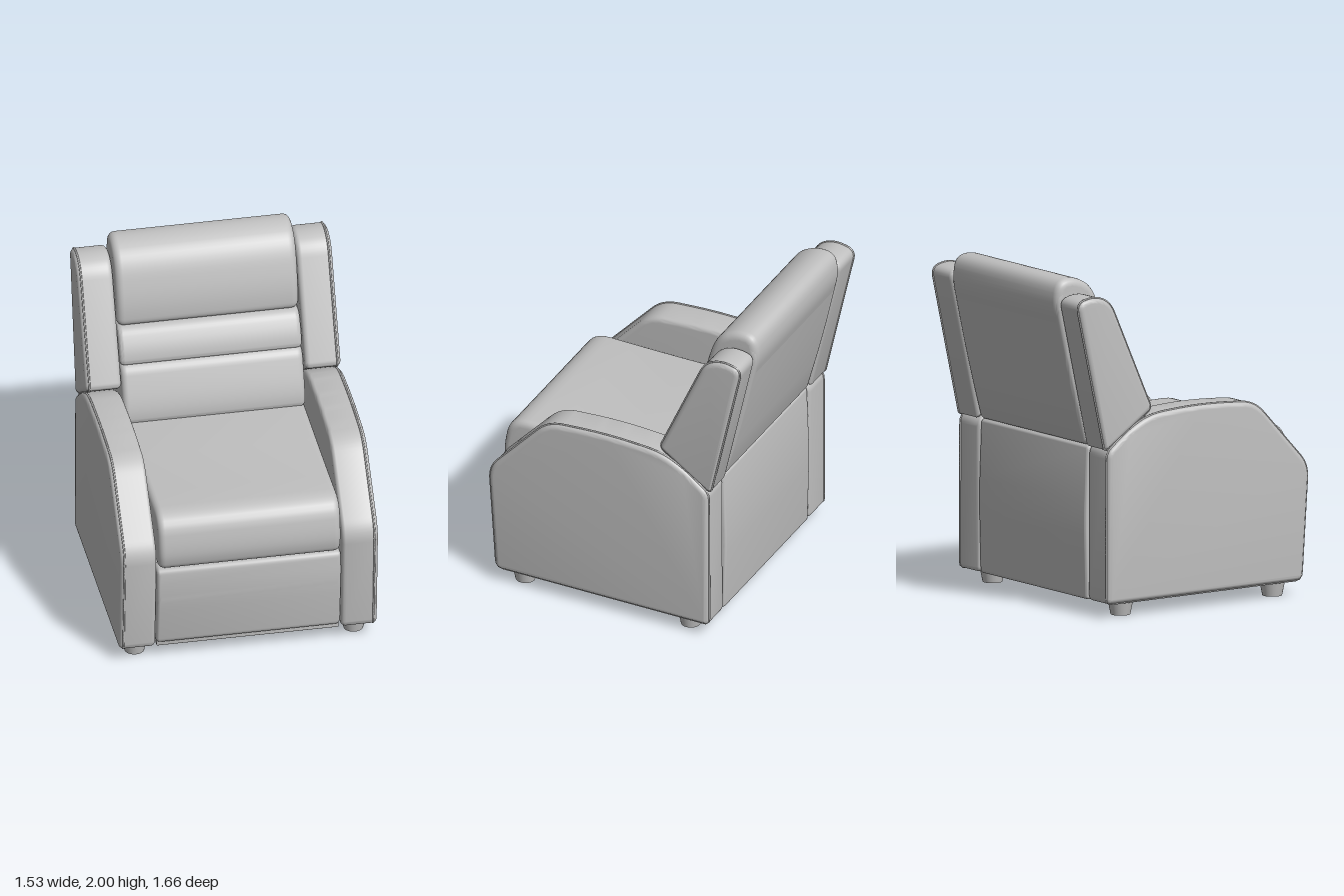
import * as THREE from 'three';
import { toCreasedNormals } from 'three/addons/utils/BufferGeometryUtils.js';

// Closed side outline from [z, y, cornerRadius] points
function outline(points) {
  const shape = new THREE.Shape();
  const n = points.length;
  points.forEach(([z, y, r], i) => {
    const p = new THREE.Vector2(z, y);
    const toward = (q) => {
      const d = new THREE.Vector2(q[0], q[1]).sub(p);
      const len = d.length();
      return d.multiplyScalar(Math.min(r, len * 0.48) / len).add(p);
    };
    const a = toward(points[(i + n - 1) % n]);
    const b = toward(points[(i + 1) % n]);
    if (i === 0) shape.moveTo(a.x, a.y);
    else shape.lineTo(a.x, a.y);
    shape.quadraticCurveTo(z, y, b.x, b.y);
  });
  shape.closePath();
  return shape;
}

// Upholstered block: side outline swept from x0 to x1 with soft edges
function padded(name, points, x0, x1, bevel, material) {
  const depth = x1 - x0 - 2 * bevel;
  const geo = new THREE.ExtrudeGeometry(outline(points), {
    depth, steps: 1, curveSegments: 7,
    bevelEnabled: true, bevelSize: bevel, bevelThickness: bevel,
    bevelOffset: -bevel, bevelSegments: 5,
  });
  geo.translate(0, 0, -depth / 2);
  geo.rotateY(-Math.PI / 2);
  geo.translate((x0 + x1) / 2, 0, 0);
  const mesh = new THREE.Mesh(toCreasedNormals(geo, 0.7), material);
  mesh.name = name;
  return mesh;
}

// Thin sewn cord following a side outline at a given x
function piping(name, points, x, material) {
  const pts = outline(points).getSpacedPoints(120).slice(0, -1)
    .map((p) => new THREE.Vector3(x, p.y, p.x));
  const curve = new THREE.CatmullRomCurve3(pts, true);
  const mesh = new THREE.Mesh(new THREE.TubeGeometry(curve, 180, 0.006, 6, true), material);
  mesh.name = name;
  return mesh;
}

export function createModel() {
  const chair = new THREE.Group();
  chair.name = 'reclinerChair';
  const grey = new THREE.MeshStandardMaterial({ color: 0xc0c0c0 });
  grey.name = 'grey upholstery';

  const armProfile = [
    [0.768, 0.09, 0.04], [0.814, 0.77, 0.08], [0.43, 1.185, 0.1], [0.05, 1.208, 0.2],
    [-0.31, 1.185, 0.1], [-0.47, 1.105, 0.08], [-0.62, 0.985, 0.04], [-0.622, 0.085, 0.03],
  ];
  const wingProfile = [
    [-0.295, 1.215, 0.035], [-0.59, 1.875, 0.07], [-0.70, 1.92, 0.06],
    [-0.83, 1.89, 0.06], [-0.63, 0.99, 0.03],
  ];

  // Arms, back wings and legs, one set per side
  for (const [side, s] of [['left', 1], ['right', -1]]) {
    const span = (a, b) => (s > 0 ? [a, b] : [-b, -a]);
    chair.add(padded(side + 'Arm', armProfile, ...span(0.55, 0.766), 0.03, grey));
    chair.add(piping(side + 'ArmPiping', armProfile, s * 0.742, grey));
    chair.add(padded(side + 'Wing', wingProfile, ...span(0.545, 0.758), 0.03, grey));
    chair.add(piping(side + 'WingPiping', wingProfile, s * 0.736, grey));
    for (const [end, z] of [['Front', 0.625], ['Back', -0.455]]) {
      const leg = new THREE.Mesh(new THREE.CylinderGeometry(0.078, 0.058, 0.1, 24), grey);
      leg.name = side + end + 'Leg';
      leg.position.set(s * 0.65, 0.05, z);
      chair.add(leg);
    }
  }

  // Base between the arms, with the back panel
  chair.add(padded('base', [
    [0.62, 0.085, 0.01], [0.62, 0.66, 0.02], [-0.55, 0.66, 0.02], [-0.56, 0.085, 0.01],
  ], -0.56, 0.56, 0.005, grey));
  chair.add(padded('lowerBackPanel', [
    [-0.50, 0.085, 0.02], [-0.50, 1.0, 0.03], [-0.615, 1.0, 0.03],
    [-0.632, 0.55, 0.1], [-0.62, 0.085, 0.02],
  ], -0.545, 0.545, 0.018, grey));

  // Folded footrest under the seat
  chair.add(padded('footrestPanel', [
    [0.68, 0.11, 0.03], [0.68, 0.635, 0.03], [0.80, 0.635, 0.035],
    [0.805, 0.45, 0.1], [0.765, 0.11, 0.035],
  ], -0.546, 0.546, 0.025, grey));
  chair.add(padded('footrestBoard', [
    [0.66, 0.085, 0.005], [0.66, 0.3, 0.005], [0.745, 0.3, 0.005], [0.745, 0.085, 0.005],
  ], -0.54, 0.54, 0.004, grey));

  // Seat cushion
  chair.add(padded('seatCushion', [
    [-0.5, 0.645, 0.04], [-0.5, 0.985, 0.04], [0.3, 0.985, 0.2], [0.79, 0.995, 0.13],
    [0.838, 0.77, 0.12], [0.81, 0.645, 0.045],
  ], -0.541, 0.541, 0.04, grey));

  // Backrest shell and its three cushions
  chair.add(padded('backrestShell', [
    [-0.42, 1.0, 0.04], [-0.60, 1.60, 0.1], [-0.66, 1.95, 0.06], [-0.80, 1.95, 0.08],
    [-0.832, 1.86, 0.08], [-0.73, 1.40, 0.2], [-0.622, 1.0, 0.03],
  ], -0.541, 0.541, 0.03, grey));
  chair.add(padded('lowerBackCushion', [
    [-0.26, 0.97, 0.04], [-0.265, 1.08, 0.1], [-0.355, 1.322, 0.06],
    [-0.55, 1.322, 0.04], [-0.50, 0.97, 0.04],
  ], -0.541, 0.541, 0.035, grey));
  chair.add(padded('lumbarCushion', [
    [-0.365, 1.31, 0.04], [-0.385, 1.41, 0.08], [-0.455, 1.522, 0.05],
    [-0.62, 1.522, 0.04], [-0.56, 1.31, 0.04],
  ], -0.541, 0.541, 0.03, grey));
  chair.add(padded('headCushion', [
    [-0.47, 1.515, 0.055], [-0.475, 1.68, 0.1], [-0.55, 1.93, 0.14], [-0.69, 2.006, 0.1],
    [-0.815, 1.99, 0.09], [-0.838, 1.85, 0.08], [-0.74, 1.515, 0.04],
  ], -0.541, 0.541, 0.045, grey));

  return chair;
}
